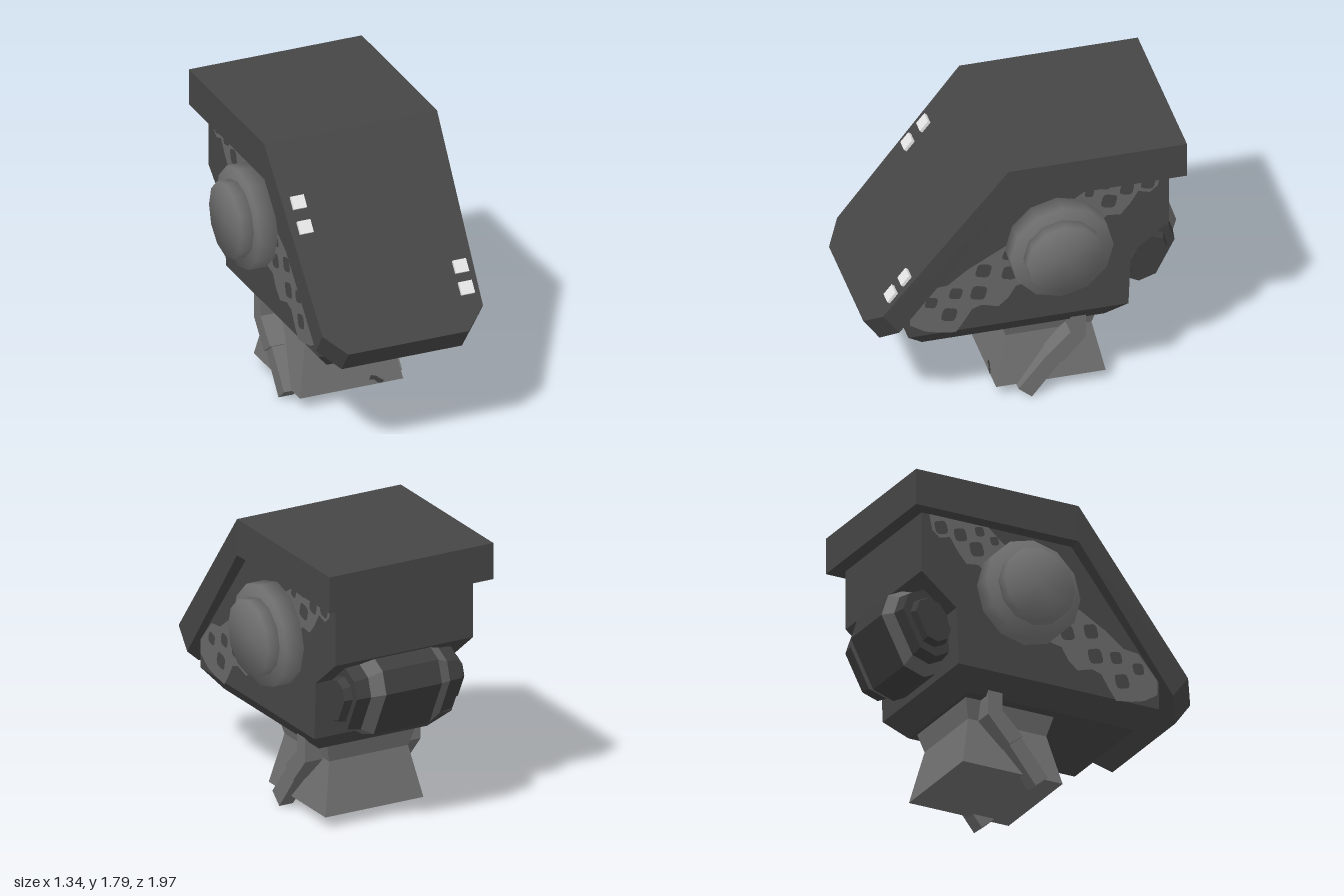
import * as THREE from 'three';
import { mergeVertices } from 'three/addons/utils/BufferGeometryUtils.js';
import { ConvexGeometry } from 'three/addons/geometries/ConvexGeometry.js';

const paint = (name, color, extra = {}) => new THREE.MeshStandardMaterial({ name, color, ...extra });

export function createModel() {
  const model = new THREE.Group();
  model.name = 'helmetHead';
  const shell = paint('charcoal shell', 0x464646);
  const barrelDark = paint('dark barrel', 0x3e3e3e);
  const grey = paint('neck grey', 0x707070);
  const pale = paint('worn grey', 0x686868, { side: THREE.DoubleSide });
  const white = paint('white light', 0xe8e8e8);

  const add = (name, geometry, material) => {
    const mesh = new THREE.Mesh(geometry, material);
    mesh.name = name;
    model.add(mesh);
    return mesh;
  };
  const hull = (name, points, material) =>
    add(name, new ConvexGeometry(points.map((p) => new THREE.Vector3(...p))), material);
  // Mirror [x, y, z] points across x
  const both = (points) => points.flatMap(([x, y, z]) => [[x, y, z], [-x, y, z]]);
  // Rectangle at a height: half width, front z, back z
  const level = (y, w, zf, zb) => both([[w, y, zf], [w, y, zb]]);
  // Shape from [z, y] points
  const sideShape = (pts) => new THREE.Shape(pts.map(([z, y]) => new THREE.Vector2(z, y)));

  // Hood: flat roof and tapered sloping face plate with clipped corners
  hull('hoodRoof', [...level(1.8, 0.56, 0.15, -0.945), ...level(1.57, 0.56, 0.15, -0.945)], shell);
  hull('hoodFacePlate', both([
    [0.56, 1.8, 0.15], [0.56, 1.57, 0.15],
    [0.52, 0.86, 0.91], [0.52, 0.725, 0.809],
    [0.39, 0.755, 0.995], [0.39, 0.615, 0.895],
  ]), shell);

  // Body: side profile with a recess at the lower back
  const body = new THREE.ExtrudeGeometry(sideShape([
    [0.74, 0.64], [0.74, 0.83], [0.15, 1.58], [-0.86, 1.58],
    [-0.86, 1.19], [-0.625, 1.0], [-0.61, 0.64],
  ]), { depth: 0.94, bevelEnabled: false });
  body.translate(0, 0, -0.47).rotateY(-Math.PI / 2);
  add('body', body, shell);
  hull('bodyBase', [...level(0.64, 0.47, 0.74, -0.61), ...level(0.52, 0.37, 0.63, -0.49)], shell);

  // Worn diagonal band on each side, with dark spots left open
  const patches = [
    {
      edge: [[0.73, 0.82], [0.6, 0.97], [0.5, 0.98], [0.38, 1.07], [0.2, 1.17], [0.05, 1.25],
        [-0.05, 0.93], [0.02, 0.91], [0.08, 0.9], [0.13, 0.82], [0.19, 0.77], [0.29, 0.8],
        [0.35, 0.78], [0.4, 0.7], [0.45, 0.63], [0.55, 0.645], [0.64, 0.67], [0.73, 0.73]],
      spots: [[0.49, 0.765, 0.05], [0.31, 0.89, 0.052], [0.45, 0.91, 0.042], [0.28, 1.045, 0.05],
        [0.12, 1.0, 0.05], [0.6, 0.87, 0.04], [0.13, 1.13, 0.035]],
    },
    {
      edge: [[-0.25, 1.45], [-0.33, 1.5], [-0.41, 1.57], [-0.81, 1.57], [-0.79, 1.47], [-0.74, 1.43],
        [-0.67, 1.45], [-0.62, 1.37], [-0.56, 1.3], [-0.48, 1.31], [-0.4, 1.25]],
      spots: [[-0.49, 1.41, 0.05], [-0.73, 1.5, 0.046], [-0.6, 1.48, 0.045], [-0.47, 1.53, 0.033],
        [-0.37, 1.49, 0.03]],
    },
  ];
  for (const { edge, spots } of patches) {
    const shape = sideShape(edge);
    for (const [z, y, r] of spots) {
      const hole = new THREE.Path();
      for (let i = 0; i <= 16; i++) {
        // Rounded, slightly square outline
        const a = (i / 16) * Math.PI * 2, k = r * (1 - 0.1 * Math.cos(4 * a));
        const x = z + k * Math.cos(a + 0.25), h = y + k * Math.sin(a + 0.25);
        if (i) hole.lineTo(x, h); else hole.moveTo(x, h);
      }
      shape.holes.push(hole);
    }
    for (const s of [-1, 1]) {
      const flat = new THREE.ShapeGeometry(shape).rotateY(-Math.PI / 2);
      add('wornPatch', flat, pale).position.x = s * 0.474;
    }
  }

  // Ear discs: two stepped twelve-sided drums with soft shading
  const drum = (r, depth) => {
    const g = new THREE.CylinderGeometry(r, r, depth, 12);
    g.deleteAttribute('uv');
    g.deleteAttribute('normal');
    const soft = mergeVertices(g);
    soft.computeVertexNormals();
    return soft.rotateZ(-Math.PI / 2);
  };
  for (const s of [-1, 1]) {
    add('earDisc', drum(0.317, 0.14), grey).position.set(s * 0.52, 1.175, -0.17);
    add('earCap', drum(0.237, 0.12), grey).position.set(s * 0.61, 1.175, -0.17);
  }

  // Rear barrel: stretched octagonal rings, tilted, lofted along x
  const ring = (x, k) => {
    const pts = [];
    for (const [u, v] of [[0.168, 0.177], [0.27, 0.075]])
      for (const a of [-1, 1]) for (const b of [-1, 1]) {
        const p = u * a * k, q = v * b * k;
        pts.push([x, 0.92 - 0.89 * p - 0.45 * q, -0.745 + 0.45 * p - 0.89 * q]);
      }
    return pts;
  };
  hull('barrelMiddle', [...ring(-0.19, 1), ...ring(0.19, 1)], barrelDark);
  for (const s of [-1, 1]) {
    hull('barrelBand', [...ring(s * 0.19, 1), ...ring(s * 0.27, 0.82)], pale);
    hull('barrelEnd', [...ring(s * 0.27, 0.82), ...ring(s * 0.36, 0.76)], barrelDark);
    hull('barrelCap', [...ring(s * 0.36, 0.56), ...ring(s * 0.41, 0.5)], barrelDark);
  }

  // Neck: pinched at the waist
  hull('neckTop', [...level(0.53, 0.305, 0.125, -0.472), ...level(0.4, 0.27, 0.09, -0.437)], grey);
  hull('neckBottom', [...level(0.4, 0.27, 0.09, -0.437), ...level(0.08, 0.335, 0.165, -0.507)], grey);
  // Small scuff on the neck front
  const scuff = new THREE.ShapeGeometry(sideShape([
    [0.115, 0.115], [0.13, 0.14], [0.16, 0.13], [0.21, 0.095], [0.2, 0.082], [0.17, 0.085], [0.15, 0.108],
  ]));
  scuff.translate(0, -0.08, 0).rotateX(-0.23);
  add('neckScuff', scuff, barrelDark).position.set(0, 0.08, 0.168);

  // Straps: bent upper sleeve and thinner lower end
  const strap = (name, s, x0, x1, pts) =>
    hull(name, [x0, x1].flatMap((x) => pts.map(([z, y]) => [s * x, y, z])), grey);
  for (const s of [-1, 1]) {
    strap('strapTop', s, 0.275, 0.395, [[-0.275, 0.55], [-0.37, 0.55], [-0.37, 0.395], [-0.275, 0.44]]);
    strap('strapSleeve', s, 0.275, 0.395, [[-0.275, 0.44], [-0.37, 0.395], [-0.225, 0.23], [-0.135, 0.3]]);
    strap('strapEnd', s, 0.288, 0.382, [[-0.14, 0.295], [-0.22, 0.23], [-0.042, 0.005], [0.04, 0.075]]);
  }

  // Square lights on the sloping face
  for (const [x, y] of [[-0.45, 1.5], [-0.45, 1.38], [0.443, 1.06], [0.443, 0.955]]) {
    const light = add('faceLight', new THREE.BoxGeometry(0.085, 0.08, 0.04), white);
    light.position.set(x, y, 0.15 + (1.8 - y) * 0.8086);
    light.rotation.x = -0.68;
  }
  return model;
}
